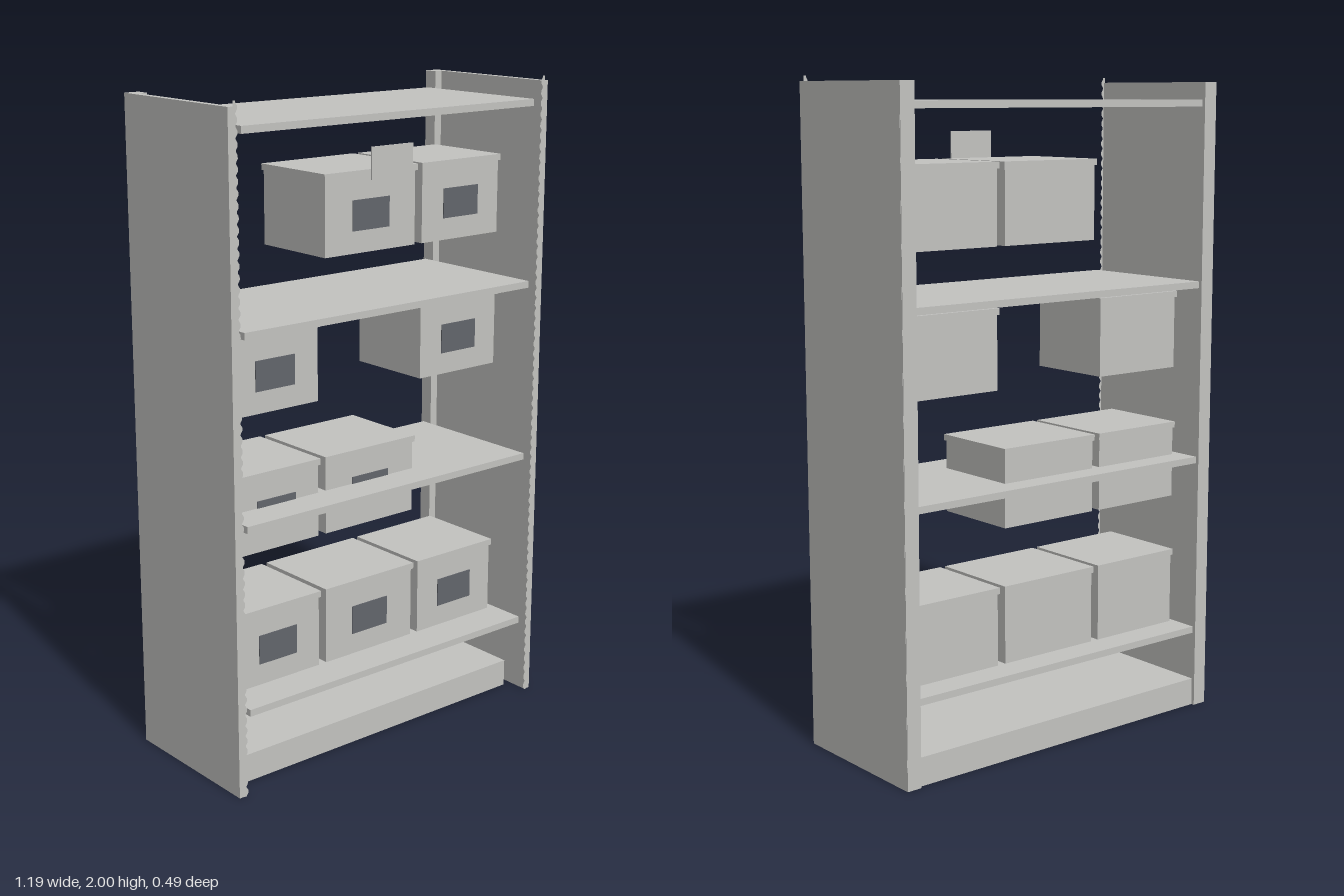
import * as THREE from 'three';

const paint = new THREE.MeshStandardMaterial({ color: 0xc4c4c1 });
paint.name = 'pale grey';
const dark = new THREE.MeshStandardMaterial({ color: 0x63666c });
dark.name = 'slate grey';
const sheet = new THREE.MeshStandardMaterial({ color: 0xc4c4c1, side: THREE.DoubleSide });
sheet.name = 'pale grey sheet';

// Box given by its min and max corners
function block(parent, name, [x0, y0, z0], [x1, y1, z1], material = paint) {
  const mesh = new THREE.Mesh(new THREE.BoxGeometry(x1 - x0, y1 - y0, z1 - z0), material);
  mesh.position.set((x0 + x1) / 2, (y0 + y1) / 2, (z0 + z1) / 2);
  mesh.name = name;
  parent.add(mesh);
  return mesh;
}

// Narrow vertical strip with a toothed edge on both sides
function toothedStrip() {
  const teeth = 62, top = 2, step = top / teeth;
  const shape = new THREE.Shape();
  shape.moveTo(-0.006, 0);
  for (let i = 0; i < teeth; i++) {
    shape.lineTo(0.002, i * step);
    shape.lineTo(0.008, (i + 0.3) * step);
    shape.lineTo(0.008, (i + 0.6) * step);
    shape.lineTo(0.002, (i + 0.9) * step);
  }
  shape.lineTo(0.002, top);
  shape.lineTo(-0.006, top);
  shape.closePath();
  return new THREE.ShapeGeometry(shape);
}

// Lidded storage box with a front label
function storageBox(x, width, y) {
  const box = new THREE.Group();
  box.name = 'storageBox';
  const w = width / 2;
  block(box, 'boxBody', [-w, 0, -0.16], [w, 0.225, 0.125]);
  block(box, 'boxLid', [-w - 0.005, 0.222, -0.165], [w + 0.005, 0.241, 0.131]);
  block(box, 'boxLabel', [-0.07, 0.066, 0.124], [0.07, 0.156, 0.128], dark);
  box.position.set(x, y, 0);
  return box;
}

export function createModel() {
  const model = new THREE.Group();
  model.name = 'shelvingUnit';

  // Side frames: panel, rear post and toothed front strip
  const strip = toothedStrip();
  for (const s of [-1, 1]) {
    const frame = new THREE.Group();
    frame.name = s > 0 ? 'leftFrame' : 'rightFrame';
    const span = (a, b) => (s > 0 ? [a, b] : [-b, -a]);
    const [p0, p1] = span(0.573, 0.594);
    block(frame, 'sidePanel', [p0, 0, -0.245], [p1, 1.985, 0.243]);
    const [q0, q1] = span(0.546, 0.5935);
    block(frame, 'rearPost', [q0, 0, -0.247], [q1, 1.985, -0.203]);
    const teeth = new THREE.Mesh(strip, sheet);
    teeth.name = 'toothedStrip';
    teeth.position.set(s * 0.573, 0, 0.245);
    teeth.scale.x = -s;
    frame.add(teeth);
    model.add(frame);
  }

  // Shelves and plinth
  for (const y of [0.241, 0.799, 1.355, 1.911]) {
    block(model, 'shelf', [-0.545, y, -0.237], [0.545, y + 0.021, 0.235]);
  }
  block(model, 'plinth', [-0.545, 0, -0.237], [0.545, 0.087, 0.175]);

  // Boxes: columns hold centre and width, rows hold height and filled columns
  const columns = [[-0.359, 0.312], [-0.003, 0.343], [0.353, 0.312]];
  const rows = [[0.268, [0, 1, 2]], [0.685, [0, 1]], [1.101, [0, 2]], [1.519, [1, 2]]];
  for (const [y, filled] of rows) {
    for (const c of filled) model.add(storageBox(columns[c][0], columns[c][1], y));
  }

  // Small sign plate in front of the upper middle box
  block(model, 'signPlate', [-0.08, 1.745, 0.215], [0.075, 1.838, 0.219]);

  return model;
}
